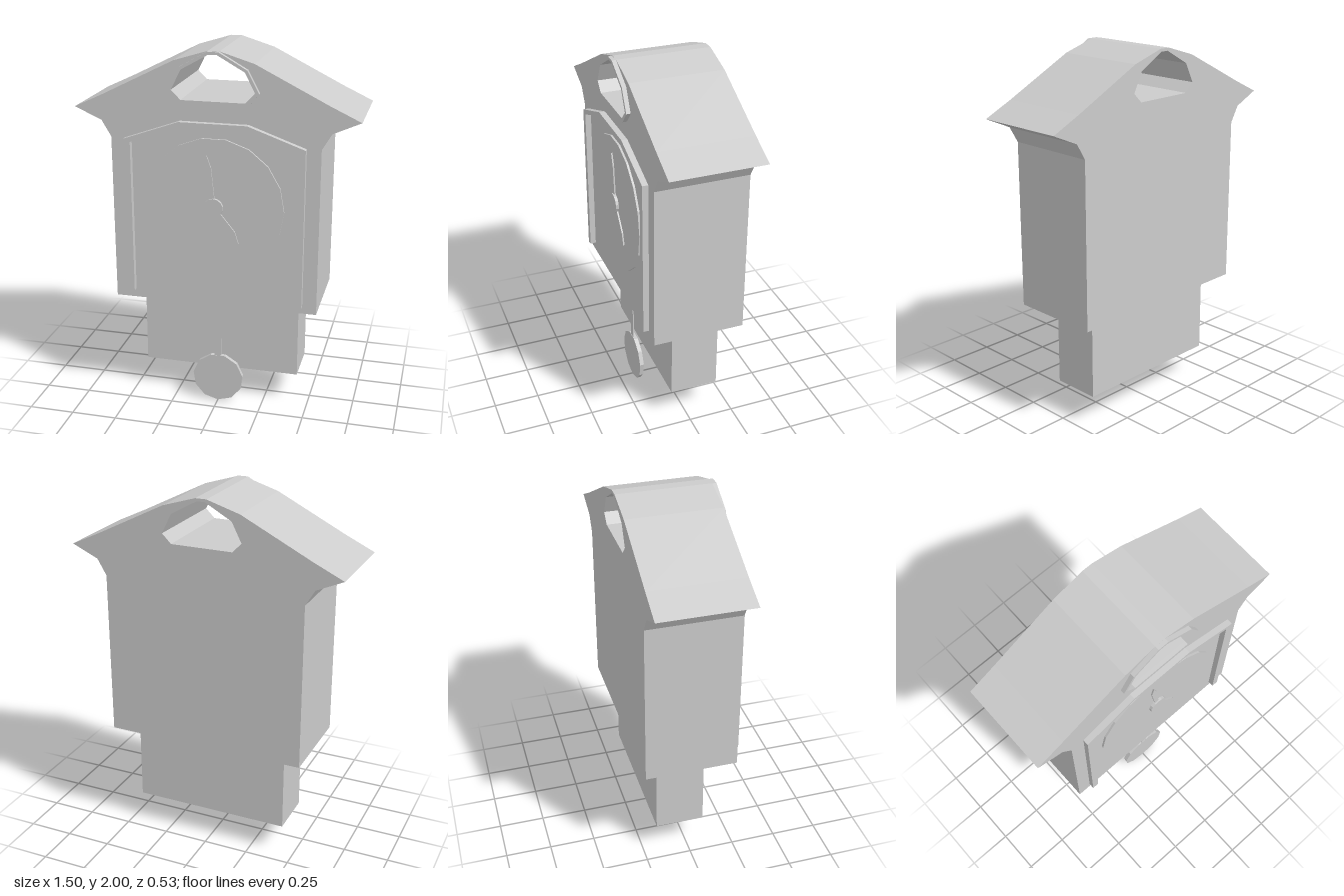
import * as THREE from 'three';

const material = new THREE.MeshStandardMaterial({ color: 0xcccccc, flatShading: true });

// mirror a right-hand run of points (bottom to top) into a closed symmetric outline
const mirrored = (half) => [...half, ...half.map(([x, y]) => [-x, y]).reverse()];
const toVectors = (pts) => pts.map(([x, y]) => new THREE.Vector2(x, y));

export function createModel() {
  const group = new THREE.Group();

  const add = (name, geometry) => {
    const mesh = new THREE.Mesh(geometry, material);
    mesh.name = name;
    group.add(mesh);
    return mesh;
  };

  // flat panel cut from an outline, spanning z0 to z1
  const panel = (name, outline, z0, z1, hole) => {
    const shape = new THREE.Shape(toVectors(outline));
    if (hole) shape.holes.push(new THREE.Path(toVectors(hole)));
    const geometry = new THREE.ExtrudeGeometry(shape, { depth: z1 - z0, bevelEnabled: false });
    return add(name, geometry.translate(0, 0, z0));
  };

  // disc facing forward, spanning z0 to z1
  const disc = (name, radius, sides, y, z0, z1, turn = 0) => {
    const geometry = new THREE.CylinderGeometry(radius, radius, z1 - z0, sides, 1, false, turn);
    return add(name, geometry.rotateX(Math.PI / 2).translate(0, y, (z0 + z1) / 2));
  };

  const back = -0.267, front = 0.235;

  // house-shaped case with flared roof and a window through the gable
  const windowInner = mirrored([[0.168, 1.75], [0.218, 1.8], [0.165, 1.905], [0.022, 1.985]]);
  const windowOuter = mirrored([[0.18, 1.733], [0.238, 1.8], [0.178, 1.915], [0.03, 1.999]]);
  panel('case', mirrored([
    [0.555, 0.625], [0.555, 1.53], [0.605, 1.615], [0.75, 1.68],
    [0.59, 1.755], [0.21, 1.945], [0.03, 2],
  ]), back, front, windowInner);
  panel('windowTrim', windowOuter, front, 0.258, windowInner);

  // arched moulding around the dial, open at the bottom
  const archOuter = mirrored([[0.48, 0.668], [0.48, 1.53], [0.18, 1.637]]);
  const archInner = mirrored([[0.443, 0.675], [0.443, 1.515], [0.172, 1.615]]);
  panel('archMoulding', [...archOuter, ...archInner.reverse()], front, 0.267);

  // dial, hands and hub
  const dialY = 1.185;
  disc('dial', 0.373, 18, dialY, front - 0.01, 0.246, Math.PI / 18);
  panel('minuteHand', [
    [0.006, 1.225], [-0.012, 1.4], [-0.035, 1.465], [-0.046, 1.4], [-0.018, 1.225],
  ], 0.246, 0.254);
  panel('hourHand', [
    [0.022, 1.142], [0.1, 1.025], [0.135, 0.995], [0.115, 1.06], [0.04, 1.152],
  ], 0.246, 0.254);
  disc('handHub', 0.052, 14, dialY, 0.24, 0.262);

  // lower box
  add('lowerBox', new THREE.BoxGeometry(0.875, 0.45, 0.267).translate(0, 0.4, -0.0435));

  // pendulum
  add('pendulumRod', new THREE.BoxGeometry(0.037, 0.35, 0.006).translate(0, 0.443, 0.164));
  disc('pendulumBob', 0.143, 11, 0.143, 0.146, 0.169);

  return group;
}
